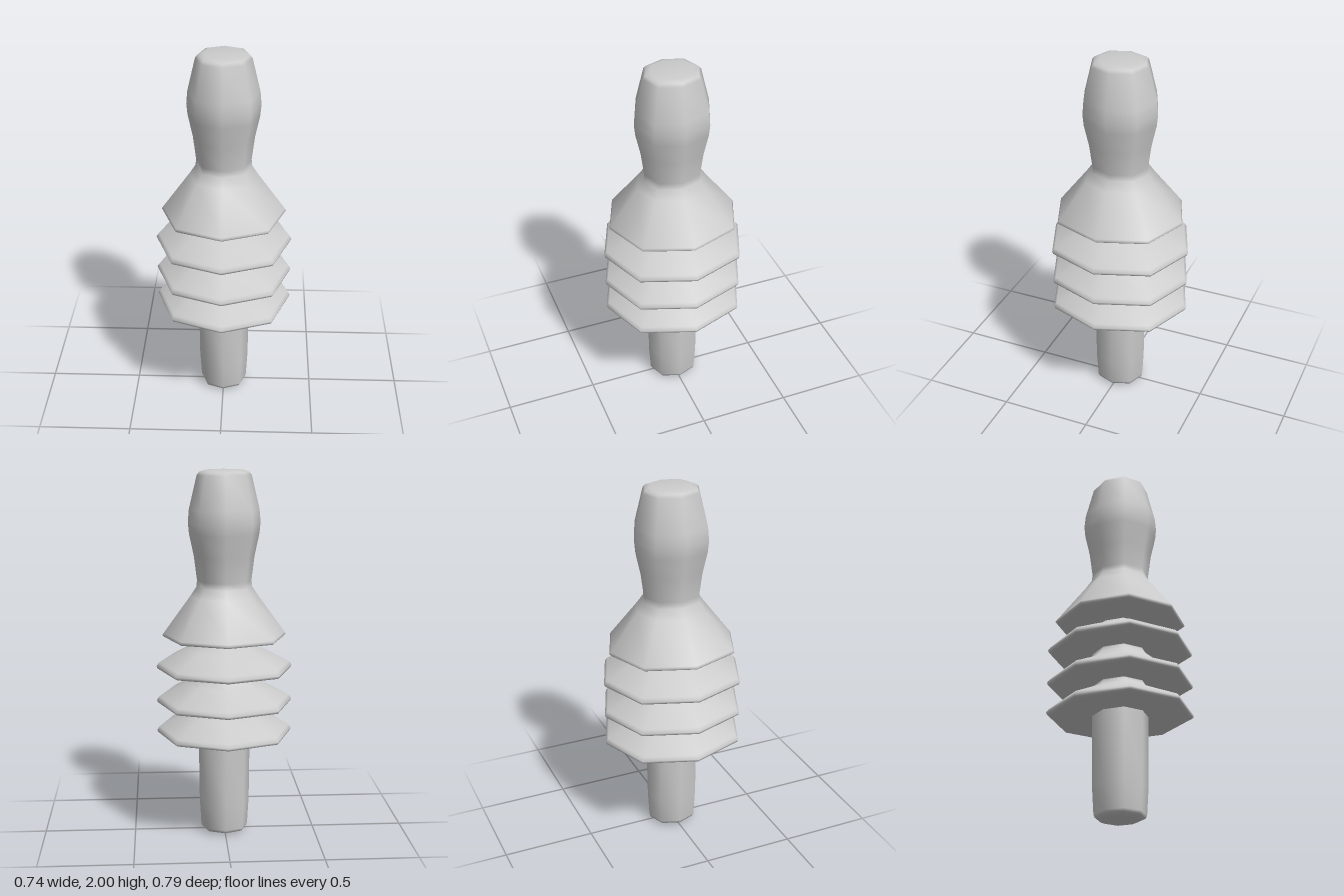
import * as THREE from 'three';
import { mergeVertices } from 'three/addons/utils/BufferGeometryUtils.js';

const material = new THREE.MeshStandardMaterial({ color: 0xcccccc, side: THREE.DoubleSide });

// Eight-sided turned part; profile is [radius, height] from bottom to top
function turned(name, profile) {
  const lathe = new THREE.LatheGeometry(profile.map(([r, y]) => new THREE.Vector2(r, y)), 8);
  lathe.deleteAttribute('uv');
  lathe.deleteAttribute('normal');
  // Slightly oval octagon with its diagonal corners pushed outwards
  const p = lathe.attributes.position;
  for (let i = 0; i < p.count; i++) {
    const x = p.getX(i), z = p.getZ(i);
    const diagonal = Math.min(Math.abs(x), Math.abs(z)) > 1e-4;
    const k = diagonal ? 1.03 : 1;
    p.setX(i, x * 0.943 * k);
    p.setZ(i, z * k);
  }
  const geometry = mergeVertices(lathe, 1e-5);
  geometry.computeVertexNormals();
  const mesh = new THREE.Mesh(geometry, material);
  mesh.name = name;
  return mesh;
}

export function createModel() {
  const group = new THREE.Group();
  group.name = 'ribbedPeg';

  // Straight stem with a rounded foot
  group.add(turned('stem', [
    [0, 0], [0.1, 0.002], [0.13, 0.014], [0.137, 0.03], [0.146, 0.18], [0.15, 0.54], [0.15, 0.58],
  ]));

  // Three sloping ribs: underside height and height of the neck above
  const ribs = [[0.562, 0.735], [0.732, 0.925], [0.922, 1.092]];
  ribs.forEach(([base, top], i) => {
    const neck = i === 2 ? 0.135 : 0.15;
    group.add(turned(`rib${i + 1}`, [
      [i === 0 ? 0.15 : 0.14, base + 0.003], [0.18, base + 0.003],
      [0.372, base], [0.388, base + 0.005], [0.393, base + 0.018], [0.378, base + 0.038],
      [0.22, base + 0.115], [0.165, top - 0.03], [neck, top - 0.008], [neck, top],
    ]));
  });

  // Flared skirt rising into the bulbous grip
  group.add(turned('grip', [
    [0.135, 1.085], [0.155, 1.095], [0.325, 1.1], [0.348, 1.103], [0.357, 1.112], [0.35, 1.123],
    [0.195, 1.325], [0.16, 1.375], [0.156, 1.41], [0.173, 1.54], [0.2, 1.66],
    [0.206, 1.72], [0.2, 1.79], [0.155, 1.97], [0.142, 1.986], [0.11, 1.997], [0, 2],
  ]));

  return group;
}
